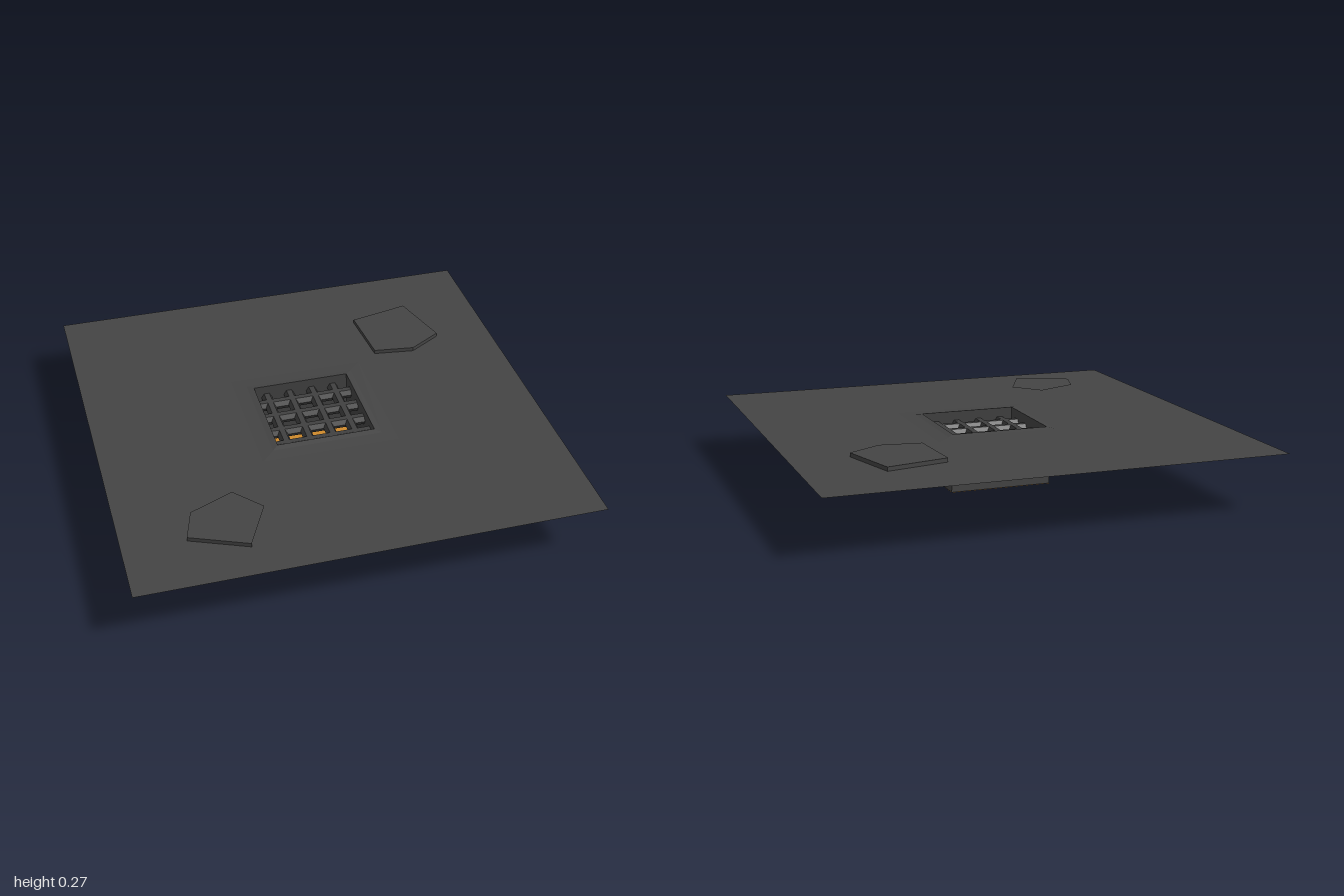
import * as THREE from 'three';

const stone = new THREE.MeshStandardMaterial({ color: 0x444444, side: THREE.DoubleSide, flatShading: true });
stone.name = 'dark stone';
const iron = new THREE.MeshStandardMaterial({ color: 0x404040, flatShading: true });
iron.name = 'dark iron';
const glow = new THREE.MeshStandardMaterial({ color: 0xcf8a2c, side: THREE.DoubleSide });
glow.name = 'molten orange';

function add(parent, name, geometry, material) {
  const mesh = new THREE.Mesh(geometry, material);
  mesh.name = name;
  parent.add(mesh);
  return mesh;
}

// Flat shape given in x and z, laid level
function outline(points) {
  return new THREE.Shape(points.map(([x, z]) => new THREE.Vector2(x, -z)));
}

const square = (h) => [[-h, h], [h, h], [h, -h], [-h, -h]];

// Four-sided surface through [half width, height] pairs
function squareLoft(profile) {
  const points = profile.map(([half, y]) => new THREE.Vector2(half * Math.SQRT2, y));
  const geometry = new THREE.LatheGeometry(points, 4, Math.PI / 4).toNonIndexed();
  geometry.computeVertexNormals();
  return geometry;
}

export function createModel() {
  const model = new THREE.Group();
  model.name = 'floorGrate';
  const groundY = 0.252;

  // Thin floor with a square opening
  const floor = outline(square(1));
  floor.holes.push(new THREE.Path(outline(square(0.31)).getPoints().reverse()));
  add(model, 'floor', new THREE.ShapeGeometry(floor).rotateX(-Math.PI / 2), stone).position.y = groundY;

  // Raised rim and pit walls
  add(model, 'rim', squareLoft([[0.31, groundY], [0.25, 0.256], [0.222, 0.261]]), stone);
  add(model, 'pitWalls', squareLoft([[0.232, 0.001], [0.222, 0.261]]), stone);

  // Glowing pit floor
  add(model, 'pitFloor', new THREE.PlaneGeometry(0.464, 0.464).rotateX(-Math.PI / 2), glow);

  // Crossed six-sided bars whose ends poke through the walls
  const grate = new THREE.Group();
  grate.name = 'grate';
  model.add(grate);
  const bar = new THREE.CylinderGeometry(0.025, 0.025, 0.5, 6).rotateZ(Math.PI / 2);
  for (const offset of [-0.162, -0.055, 0.053, 0.155]) {
    add(grate, 'crossBar', bar, iron).position.set(0, 0.197, offset);
    const long = add(grate, 'longBar', bar, iron);
    long.position.set(offset, 0.197, 0);
    long.rotation.y = Math.PI / 2;
  }

  // Solid paving slab at the back
  const backSlab = outline([[0.385, -0.645], [0.405, -0.36], [0.59, -0.335], [0.74, -0.425], [0.66, -0.705]]);
  const slabGeometry = new THREE.ExtrudeGeometry(backSlab, { depth: 0.018, bevelEnabled: false });
  add(model, 'backSlab', slabGeometry.rotateX(-Math.PI / 2), stone).position.y = groundY;

  // Front slab: a top face with a single edge face
  const frontSlab = outline([[-0.73, 0.73], [-0.485, 0.835], [-0.38, 0.62], [-0.49, 0.495], [-0.685, 0.58]]);
  add(model, 'frontSlabTop', new THREE.ShapeGeometry(frontSlab).rotateX(-Math.PI / 2), stone).position.y = 0.27;
  const edge = add(model, 'frontSlabEdge', new THREE.PlaneGeometry(Math.hypot(0.245, 0.105), 0.018), stone);
  edge.position.set(-0.6075, 0.261, 0.7825);
  edge.rotation.y = -Math.atan2(0.105, 0.245);

  return model;
}
